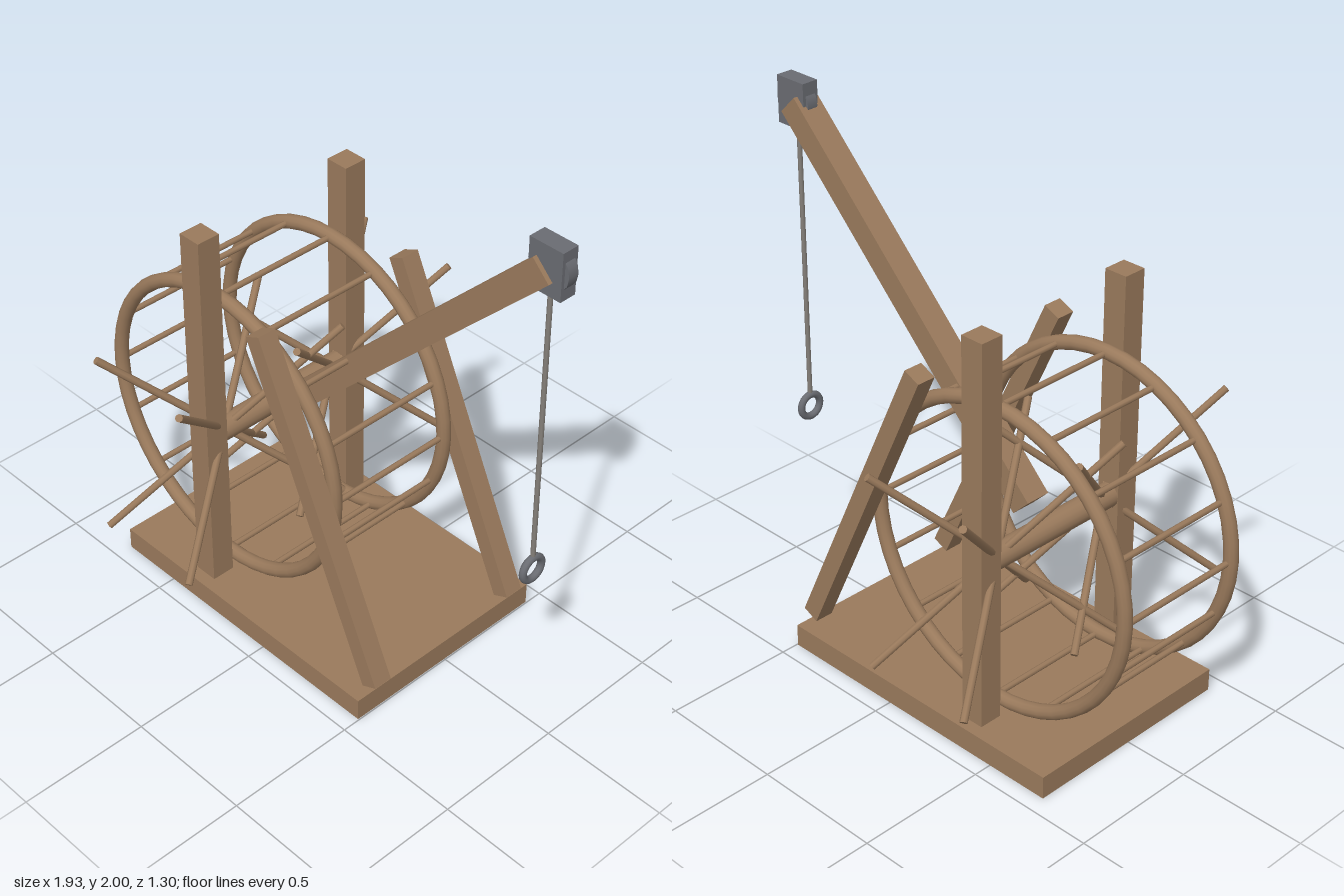
import * as THREE from 'three';

const wood = new THREE.MeshStandardMaterial({ color: 0x9a7a5c });
const metal = new THREE.MeshStandardMaterial({ color: 0x6a6c72 });
const ropeMat = new THREE.MeshStandardMaterial({ color: 0x85807a });

export function createModel() {
  const root = new THREE.Group();
  root.name = 'treadwheelCrane';

  const add = (parent, name, geometry, material, x, y, z) => {
    const mesh = new THREE.Mesh(geometry, material);
    mesh.name = name;
    mesh.position.set(x, y, z);
    parent.add(mesh);
    return mesh;
  };

  // Square timber between two points (x, y) in a plane of constant z
  const beam = (name, [x0, y0], [x1, y1], z, width, depth) => {
    const length = Math.hypot(x1 - x0, y1 - y0);
    const mesh = add(root, name, new THREE.BoxGeometry(length, width, depth), wood,
      (x0 + x1) / 2, (y0 + y1) / 2, z);
    mesh.rotation.z = Math.atan2(y1 - y0, x1 - x0);
    return mesh;
  };

  // Base platform
  add(root, 'base', new THREE.BoxGeometry(1.245, 0.088, 0.86), wood, -0.127, 0.044, 0);

  // Upright posts and slanted braces, one pair per side
  for (const s of [1, -1]) {
    add(root, 'post', new THREE.BoxGeometry(0.092, 1.49, 0.092), wood, -0.365, 0.831, s * 0.336);
    beam('brace', [0.488, 0.11], [-0.075, 1.323], s * 0.333, 0.07, 0.075);
  }

  // Treadwheel: axle, two rims, skewed spokes and rungs
  const wheel = new THREE.Group();
  wheel.name = 'treadwheel';
  wheel.position.set(-0.365, 0.715, 0);
  root.add(wheel);

  const R = 0.573;
  const rimZ = 0.265;
  const up = new THREE.Vector3(0, 1, 0);
  add(wheel, 'axle', new THREE.CylinderGeometry(0.046, 0.046, 0.66, 16), wood, 0, 0, 0)
    .rotation.x = Math.PI / 2;

  const rimGeo = new THREE.TorusGeometry(R, 0.027, 12, 48);
  const spokeGeo = new THREE.CylinderGeometry(0.014, 0.014, 2 * R, 8);
  for (const s of [1, -1]) {
    add(wheel, 'rim', rimGeo, wood, 0, 0, s * rimZ);
    for (const dx of [1, -1]) {
      for (const dz of [1, -1]) {
        const dir = new THREE.Vector3(dx * 0.383, 0.653, dz * 0.653).normalize();
        add(wheel, 'spoke', spokeGeo, wood, 0, 0, s * rimZ)
          .quaternion.setFromUnitVectors(up, dir);
      }
    }
  }

  const rungGeo = new THREE.CylinderGeometry(0.011, 0.011, 2 * rimZ, 8);
  for (let i = 0; i < 16; i++) {
    const a = (i / 16) * Math.PI * 2;
    add(wheel, 'rung', rungGeo, wood, R * Math.cos(a), R * Math.sin(a), 0)
      .rotation.x = Math.PI / 2;
  }

  // Lifting arm
  beam('arm', [-0.268, 0.764], [0.875, 1.912], 0, 0.097, 0.1);

  // Pulley block with its sheave
  add(root, 'pulleyBlock', new THREE.BoxGeometry(0.135, 0.177, 0.066), metal, 0.877, 1.9115, 0);
  add(root, 'pulleyWheel', new THREE.CylinderGeometry(0.082, 0.082, 0.042, 16), metal, 0.88, 1.913, 0)
    .rotation.x = Math.PI / 2;

  // Rope and the ring it carries
  add(root, 'rope', new THREE.CylinderGeometry(0.009, 0.009, 1.12, 8), ropeMat, 0.877, 1.3, 0);
  add(root, 'ring', new THREE.TorusGeometry(0.045, 0.014, 10, 24), metal, 0.877, 0.692, 0)
    .rotation.y = Math.PI / 2;

  return root;
}
